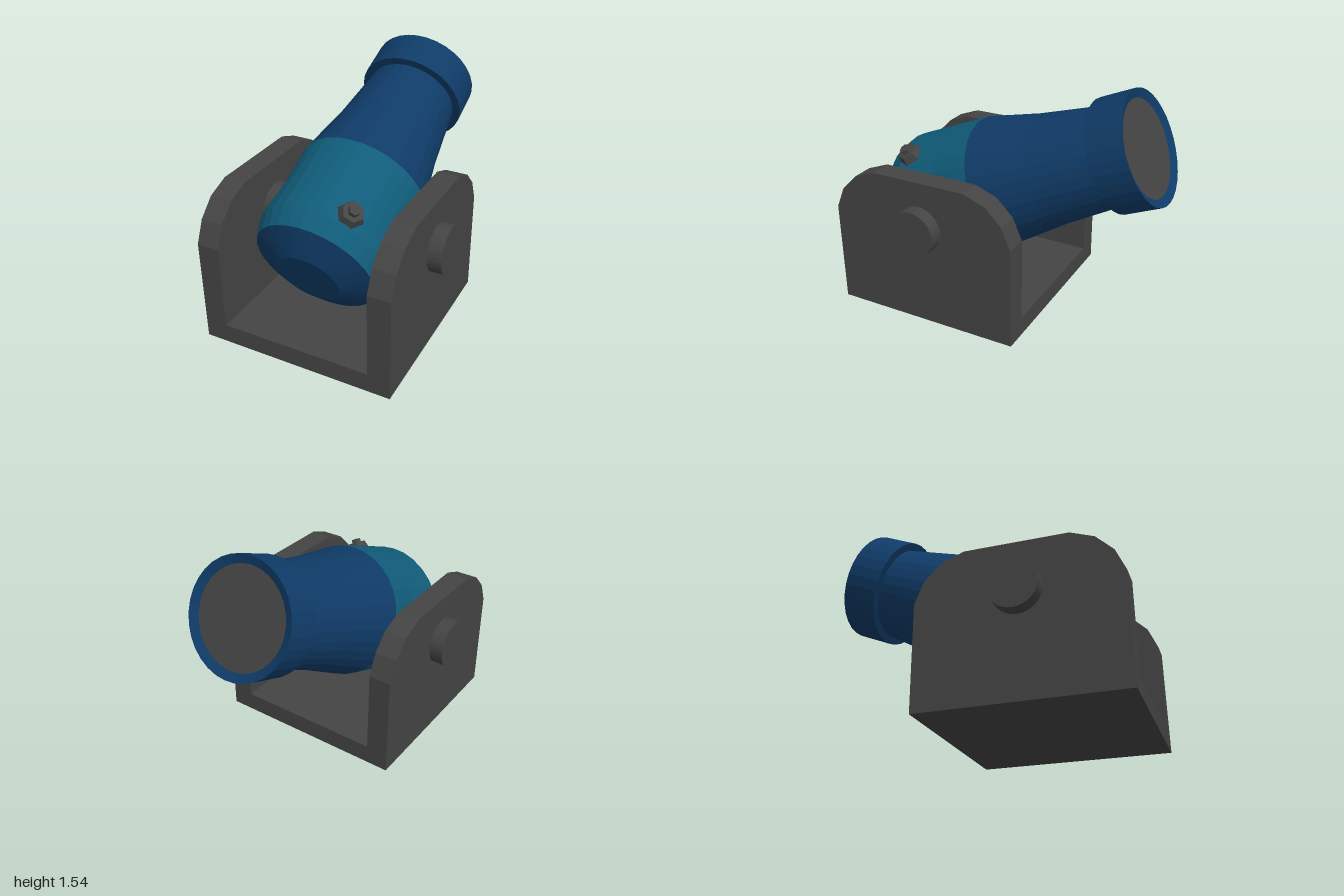
import * as THREE from 'three';

const mat = (name, color) => {
  const m = new THREE.MeshStandardMaterial({ color, flatShading: true });
  m.name = name;
  return m;
};

export function createModel() {
  const blue = mat('navy blue', 0x0f3b67);
  const teal = mat('teal', 0x105c79);
  const iron = mat('iron grey', 0x444444);
  const model = new THREE.Group();
  model.name = 'mortarCannon';

  const add = (parent, name, geometry, material, x = 0, y = 0, z = 0) => {
    const mesh = new THREE.Mesh(geometry, material);
    mesh.name = name;
    mesh.position.set(x, y, z);
    parent.add(mesh);
    return mesh;
  };
  const lathe = (pts) => new THREE.LatheGeometry(pts.map(([r, y]) => new THREE.Vector2(r, y)), 32);

  // Carriage: floor and two cheeks with rounded shoulders
  add(model, 'carriageFloor', new THREE.BoxGeometry(0.97, 0.125, 1.26), iron, 0, 0.0625, 0.37);
  const half = [[0.63, 0], [0.63, 0.676], [0.57, 0.815], [0.465, 0.92], [0.32, 0.975]];
  const outline = [...half, ...half.map(([z, y]) => [-z, y]).reverse()];
  const cheekShape = new THREE.Shape(outline.map(([z, y]) => new THREE.Vector2(-z, y)));
  const cheek = new THREE.ExtrudeGeometry(cheekShape, { depth: 0.145, bevelEnabled: false });
  cheek.translate(0, 0, -0.0725).rotateY(Math.PI / 2);
  const trunnion = new THREE.CylinderGeometry(0.152, 0.152, 0.36, 32).rotateZ(Math.PI / 2);
  for (const [side, s] of [['left', 1], ['right', -1]]) {
    add(model, side + 'Cheek', cheek, iron, s * 0.5575, 0, 0.37);
    add(model, side + 'Trunnion', trunnion, iron, s * 0.54, 0.665, 0.373);
  }

  // Barrel: origin at the muzzle centre, local +y points out of the muzzle
  const barrel = new THREE.Group();
  barrel.name = 'barrel';
  barrel.position.set(0, 1.209, -0.858);
  barrel.rotation.x = -THREE.MathUtils.degToRad(67);
  model.add(barrel);

  add(barrel, 'breechCap', lathe([[0, -1.805], [0.2, -1.805], [0.39, -1.72]]), blue);

  // Chamber band, slightly pinched at the sides beside the trunnions
  const rings = [[0.39, -1.72], [0.43, -1.61]];
  for (let i = 1; i <= 6; i++) rings.push([0.43 - 0.005 * i / 6, -1.61 + 0.555 * i / 6]);
  const band = lathe(rings);
  const p = band.attributes.position;
  for (let i = 0; i < p.count; i++) {
    const t = THREE.MathUtils.clamp((p.getY(i) + 1.3325) / 0.2775, -1, 1);
    const sideways = (p.getX(i) / 0.43) ** 2;
    p.setX(i, p.getX(i) * (1 - 0.05 * sideways * Math.cos(t * Math.PI / 2) ** 2));
  }
  band.computeVertexNormals();
  add(barrel, 'chamberBand', band, teal);

  add(barrel, 'neck', lathe([[0.425, -1.055], [0.357, -0.67], [0.307, -0.237]]), blue);
  add(barrel, 'muzzleRing', lathe([[0.3, -0.243], [0.359, -0.243], [0.359, 0], [0.305, -0.025]]), blue);
  add(barrel, 'bore', lathe([[0.306, -0.025], [0, -0.025]]), iron);

  // Hexagonal bolt on the chamber, pointing radially outward
  const bolt = new THREE.Group();
  bolt.name = 'bolt';
  bolt.position.set(0.23, -1.53, 0.36);
  bolt.quaternion.setFromUnitVectors(new THREE.Vector3(0, 1, 0), new THREE.Vector3(0.23, 0, 0.36).normalize());
  barrel.add(bolt);
  add(bolt, 'boltHead', new THREE.CylinderGeometry(0.068, 0.088, 0.055, 6), iron, 0, 0.0175, 0);
  add(bolt, 'boltStud', new THREE.CylinderGeometry(0.035, 0.035, 0.03, 6), iron, 0, 0.058, 0);

  return model;
}
